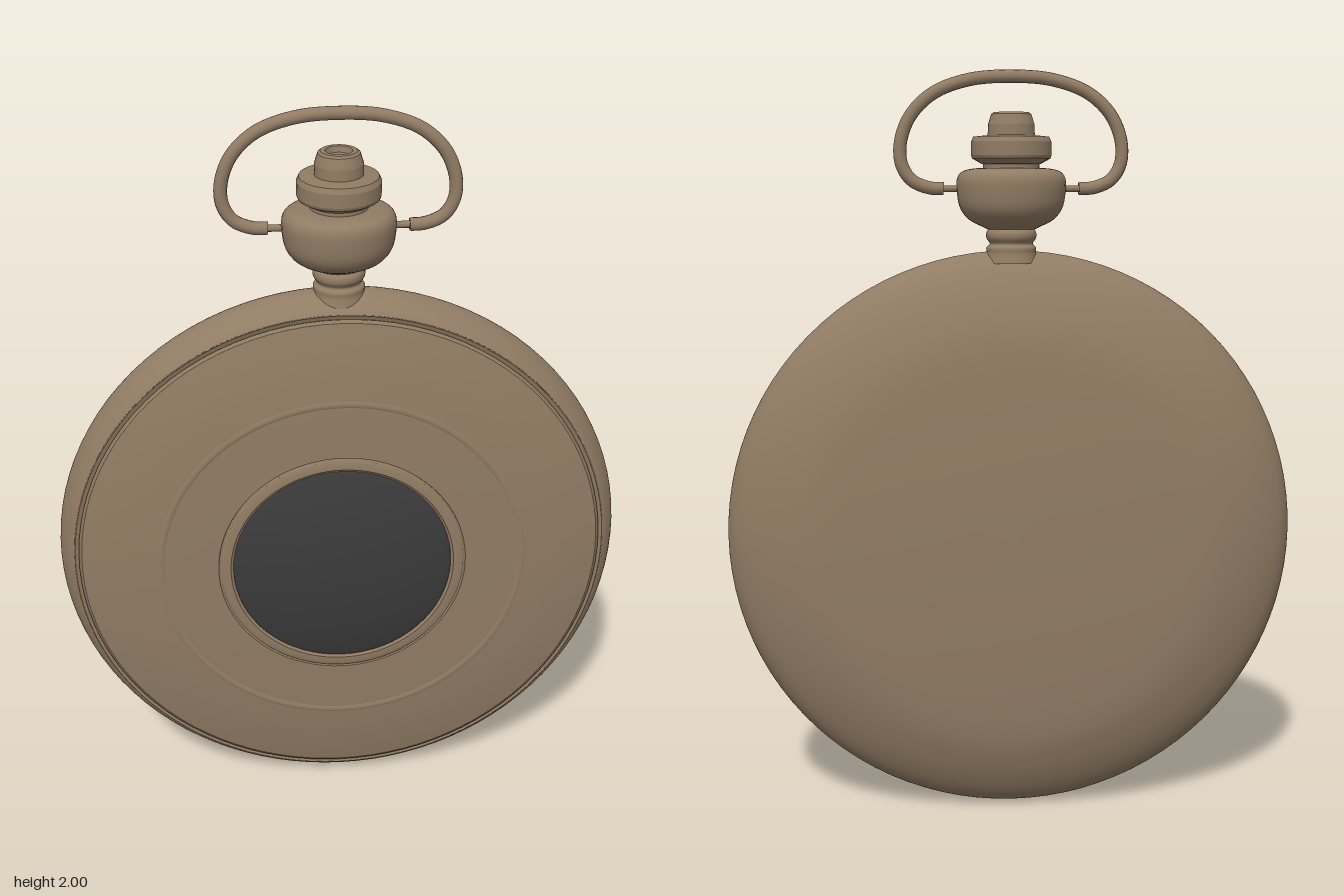
import * as THREE from 'three';

const CENTER_Y = 0.766;
const AXIS_Z = -0.003;

export function createModel() {
  const bronze = new THREE.MeshStandardMaterial({ color: 0x917c64 });
  bronze.name = 'bronze';
  const darkGlass = new THREE.MeshStandardMaterial({ color: 0x3b3b3b });
  darkGlass.name = 'darkGlass';

  const model = new THREE.Group();
  model.name = 'pocketWatch';

  const add = (name, geometry, material, parent = model) => {
    const mesh = new THREE.Mesh(geometry, material);
    mesh.name = name;
    parent.add(mesh);
    return mesh;
  };
  const vecs = (points) => points.map(([r, h]) => new THREE.Vector2(r, h));
  const lathe = (points, segments) => new THREE.LatheGeometry(vecs(points), segments);
  // Smooth profile through a few control points
  const smoothLathe = (points, samples, segments) =>
    new THREE.LatheGeometry(new THREE.SplineCurve(vecs(points)).getPoints(samples), segments);

  // Watch body: turned parts whose axis points to the front
  const body = new THREE.Group();
  body.name = 'watchBody';
  body.position.y = CENTER_Y;
  body.rotation.x = Math.PI / 2;
  model.add(body);

  // Domed back and rounded rim
  add('caseBack', smoothLathe([
    [0, -0.166], [0.2, -0.163], [0.4, -0.154], [0.54, -0.141], [0.63, -0.115], [0.7, -0.082],
    [0.745, -0.047], [0.766, -0.005], [0.757, 0.035], [0.738, 0.066], [0.722, 0.08],
  ], 48, 96), bronze, body);
  add('lidSeam', lathe([[0.724, 0.079], [0.708, 0.071], [0.69, 0.071]], 96), bronze, body);

  // Front lid: sloping edge, raised ring, flat centre
  add('lidEdge', lathe([[0.708, 0.07], [0.712, 0.082], [0.704, 0.087]], 96), bronze, body);
  add('lid', smoothLathe([
    [0.704, 0.087], [0.65, 0.099], [0.58, 0.112], [0.5, 0.122],
  ], 12, 96), bronze, body);
  add('lidRing', lathe([[0.5, 0.122], [0.491, 0.126], [0.482, 0.122]], 96), bronze, body);
  add('lidCentre', lathe([[0.482, 0.122], [0.4, 0.125], [0.336, 0.126]], 96), bronze, body);

  // Bezel around the window, with a narrow groove outside it
  add('bezelGroove', lathe([[0.336, 0.126], [0.333, 0.119], [0.33, 0.126]], 96), bronze, body);
  add('bezel', lathe([[0.33, 0.126], [0.318, 0.13], [0.303, 0.13]], 96), bronze, body);
  add('bezelInnerEdge', lathe([[0.303, 0.13], [0.297, 0.123], [0.286, 0.123]], 96), bronze, body);

  // Domed glass
  add('glass', smoothLathe([
    [0.293, 0.122], [0.288, 0.129], [0.2, 0.149], [0.1, 0.162], [0, 0.167],
  ], 20, 64), darkGlass, body);

  // Stem and crown on the vertical axis
  const stem = new THREE.Group();
  stem.name = 'stem';
  stem.position.z = AXIS_Z;
  model.add(stem);

  add('neck', smoothLathe([
    [0.072, 1.5], [0.066, 1.525], [0.066, 1.54], [0.057, 1.55], [0.066, 1.565], [0.066, 1.58], [0.058, 1.59],
  ], 24, 32), bronze, stem);

  const bulb = add('bulb', smoothLathe([
    [0.05, 1.582], [0.075, 1.594], [0.112, 1.613], [0.136, 1.645], [0.144, 1.69], [0.143, 1.72],
    [0.13, 1.738], [0.1, 1.746], [0.06, 1.748],
  ], 28, 40), bronze, stem);
  bulb.scale.z = 0.9;

  add('crownNeck', lathe([[0.074, 1.735], [0.074, 1.768]], 32), bronze, stem);

  // Each band keeps its own normals so the edges stay sharp
  const crown = [
    [0.06, 1.757], [0.078, 1.758], [0.103, 1.772], [0.106, 1.78], [0.106, 1.815],
    [0.1, 1.828], [0.062, 1.832], [0.061, 1.86], [0.053, 1.886], [0.046, 1.891],
    [0.034, 1.891], [0.03, 1.876], [0, 1.876],
  ];
  const crownGroup = new THREE.Group();
  crownGroup.name = 'crown';
  stem.add(crownGroup);
  for (let i = 0; i < crown.length - 1; i++) {
    add('crownBand', lathe([crown[i], crown[i + 1]], 32), bronze, crownGroup);
  }

  // Wire bow, with closed ends and thin pivot pins
  const bow = new THREE.Group();
  bow.name = 'bow';
  bow.position.z = -0.006;
  model.add(bow);

  const half = [
    [0.178, 1.694], [0.215, 1.696], [0.262, 1.716], [0.288, 1.757], [0.29, 1.815],
    [0.263, 1.883], [0.203, 1.94], [0.11, 1.974],
  ];
  const path = [
    ...half.map(([x, y]) => new THREE.Vector3(-x, y, 0)),
    new THREE.Vector3(0, 1.983, 0),
    ...half.map(([x, y]) => new THREE.Vector3(x, y, 0)).reverse(),
  ];
  add('bowWire', new THREE.TubeGeometry(new THREE.CatmullRomCurve3(path), 96, 0.017, 12), bronze, bow);

  for (const side of [-1, 1]) {
    const cap = add('bowEnd', new THREE.CircleGeometry(0.017, 12), bronze, bow);
    cap.position.set(side * 0.178, 1.694, 0);
    cap.rotation.y = -side * Math.PI / 2;
    const pin = add('pivotPin', new THREE.CylinderGeometry(0.009, 0.009, 0.07, 10), bronze, bow);
    pin.position.set(side * 0.155, 1.694, 0);
    pin.rotation.z = Math.PI / 2;
  }

  return model;
}
